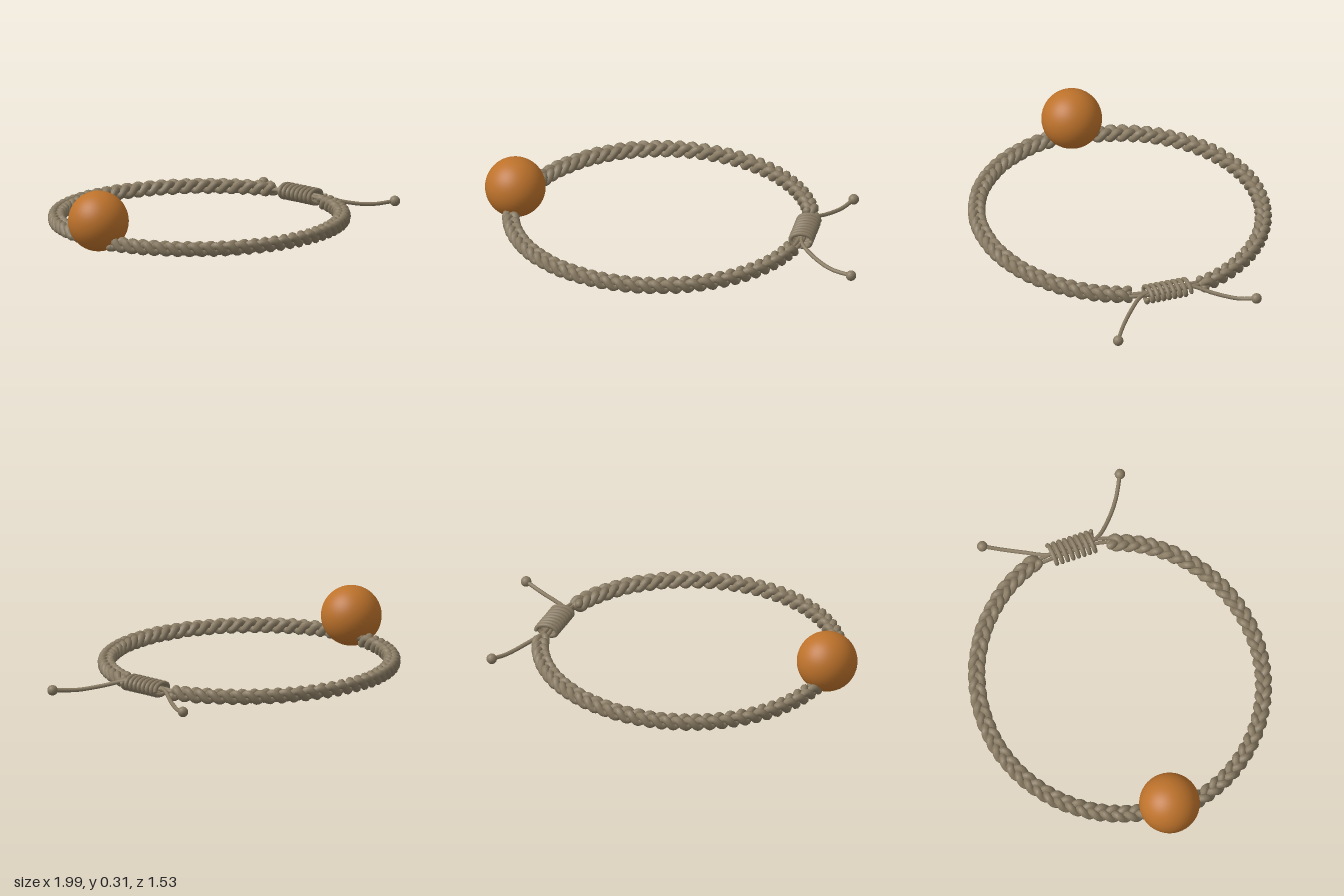
import * as THREE from 'three';

const V = (x, y, z) => new THREE.Vector3(x, y, z);
const ROPE_Y = 0.057;

export function createModel() {
  const cordMat = new THREE.MeshStandardMaterial({ color: 0x8a7c64 });
  cordMat.name = 'taupe cord';
  const beadMat = new THREE.MeshStandardMaterial({ color: 0xbd722b });
  beadMat.name = 'orange bead';

  const model = new THREE.Group();
  model.name = 'braidedBracelet';

  const ball = (parent, name, p, r, mat, seg = 12) => {
    const m = new THREE.Mesh(new THREE.SphereGeometry(r, seg, Math.max(8, seg / 2)), mat);
    m.name = name;
    m.position.copy(p);
    parent.add(m);
  };

  // Round cord along a path, closed by rounded ends
  const cord = (parent, name, pts, r, segs, sides = 8) => {
    const curve = new THREE.CatmullRomCurve3(pts);
    curve.arcLengthDivisions = 1200;
    const m = new THREE.Mesh(new THREE.TubeGeometry(curve, segs, r, sides), cordMat);
    m.name = name;
    parent.add(m);
    ball(parent, name + 'Start', pts[0], r, cordMat);
    ball(parent, name + 'End', pts[pts.length - 1], r, cordMat);
  };

  // Three-strand braid following an arc from angle a0 to a1
  const braid = (name, cx, depth, a0, a1) => {
    const group = new THREE.Group();
    group.name = name;
    const turns = 11, n = 300;
    for (let s = 0; s < 3; s++) {
      const pts = [];
      for (let i = 0; i <= n; i++) {
        const u = i / n;
        const a = a0 + (a1 - a0) * u;
        const t = 2 * Math.PI * (turns * u + s / 3);
        const side = 0.025 * Math.sin(t);
        const lift = 0.018 * Math.sin(2 * t);
        const rx = (Math.cos(a) > 0 ? 0.77 : 0.735) + side;
        pts.push(V(cx + rx * Math.cos(a), ROPE_Y + lift, (depth + side) * Math.sin(a)));
      }
      cord(group, 'strand' + (s + 1), pts, 0.0205, 420);
    }
    model.add(group);
  };
  braid('frontBraid', -0.12, 0.715, Math.PI - 0.14, 0.27);
  braid('backBraid', -0.09, 0.73, -0.27, -Math.PI + 0.14);

  // Bead
  ball(model, 'bead', V(-0.845, 0.16, 0), 0.155, beadMat, 48);

  // Sliding knot: coil wrapped round the cords
  const knot = new THREE.Group();
  knot.name = 'slidingKnot';
  const coil = [], turns = 8, steps = turns * 20;
  for (let i = 0; i <= steps; i++) {
    const u = i / steps, a = 2 * Math.PI * turns * u;
    coil.push(V(0.657 + 0.054 * Math.cos(a), 0.062 + 0.033 * Math.sin(a), -0.118 + 0.236 * u));
  }
  cord(knot, 'coil', coil, 0.0115, 400);

  // Cords running through the coil, joining both braid ends
  for (const s of [-1, 1]) {
    cord(knot, 'innerCord', [
      V(0.64 + s * 0.01, ROPE_Y, -0.22),
      V(0.65 + s * 0.012, 0.062, -0.1),
      V(0.655 + s * 0.012, 0.062, 0.1),
      V(0.63 + s * 0.01, ROPE_Y, 0.22),
    ], 0.01, 24);
  }
  model.add(knot);

  // Loose tails with a stopper at each tip
  const tails = [
    ['backTail', [V(0.655, 0.068, -0.08), V(0.665, 0.062, -0.14), V(0.725, 0.035, -0.24), V(0.785, 0.02, -0.345), V(0.828, 0.03, -0.428)]],
    ['frontTail', [V(0.655, 0.07, 0.08), V(0.67, 0.064, 0.14), V(0.75, 0.038, 0.225), V(0.85, 0.022, 0.3), V(0.967, 0.03, 0.363)]],
  ];
  for (const [name, pts] of tails) {
    cord(model, name, pts, 0.0105, 32);
    ball(model, name + 'Stopper', pts[pts.length - 1], 0.027, cordMat, 20);
  }
  return model;
}
